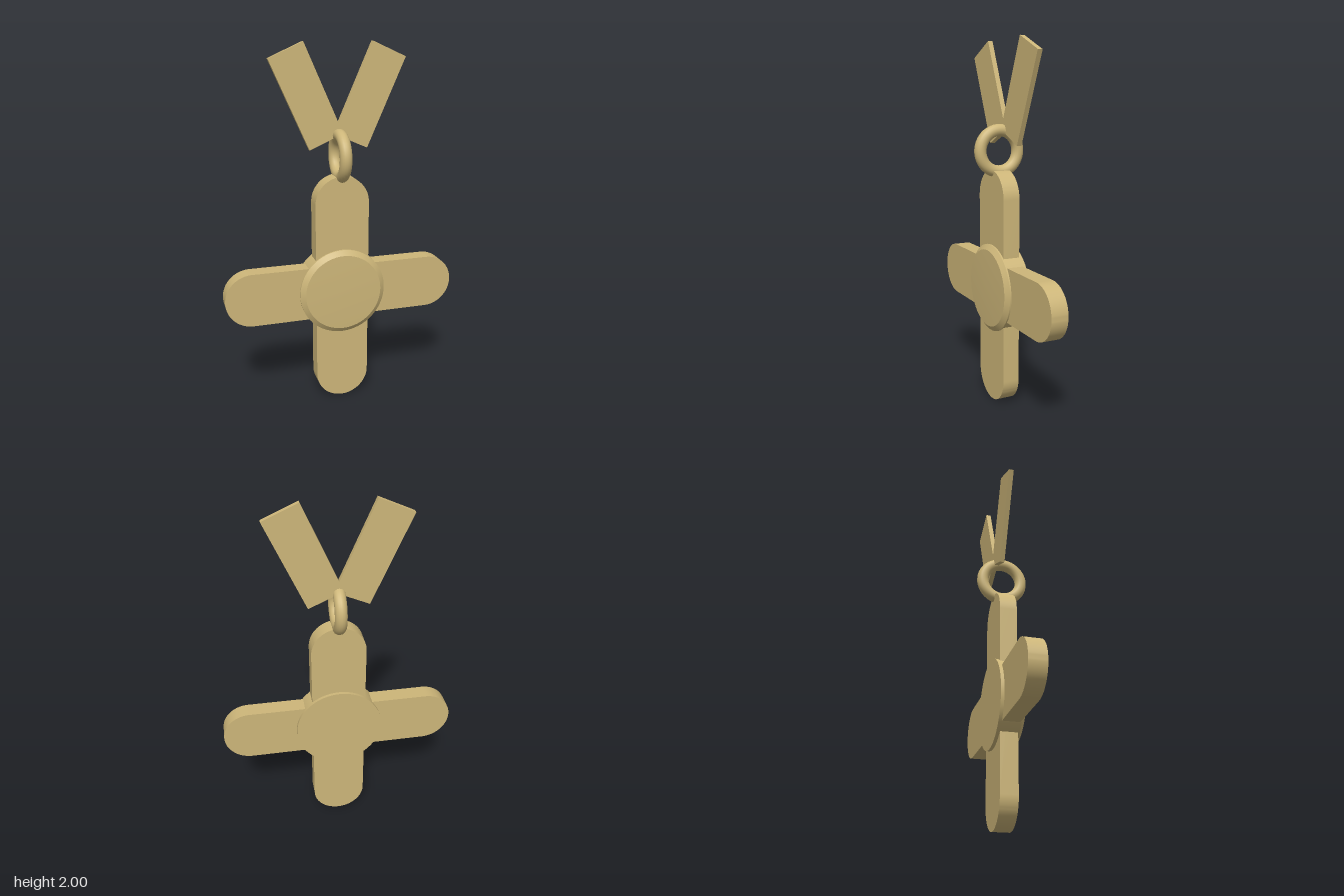
import * as THREE from 'three';
import { toCreasedNormals } from 'three/addons/utils/BufferGeometryUtils.js';

const gold = new THREE.MeshStandardMaterial({ color: 0xcdb679 });
gold.name = 'pale gold';

const HUB_Y = 0.655;

function part(name, geometry, x, y, z) {
  const mesh = new THREE.Mesh(geometry, gold);
  mesh.name = name;
  mesh.position.set(x, y, z);
  return mesh;
}

// Flat bar with fully rounded ends, standing upright and centred
function roundedBar(halfLength, radius, depth) {
  const straight = halfLength - radius;
  const shape = new THREE.Shape();
  shape.moveTo(radius, -straight);
  shape.lineTo(radius, straight);
  shape.absarc(0, straight, radius, 0, Math.PI, false);
  shape.lineTo(-radius, -straight);
  shape.absarc(0, -straight, radius, Math.PI, Math.PI * 2, false);
  const geometry = new THREE.ExtrudeGeometry(shape, { depth, bevelEnabled: false, curveSegments: 24 });
  geometry.translate(0, 0, -depth / 2);
  return toCreasedNormals(geometry, 0.5);
}

export function createModel() {
  const group = new THREE.Group();
  group.name = 'crossPendant';

  // Crossed arms
  const bar = roundedBar(0.653, 0.15, 0.094);
  group.add(part('verticalArms', bar, 0, HUB_Y, 0));
  const across = part('horizontalArms', bar, 0, HUB_Y, 0);
  across.rotation.z = Math.PI / 2;
  group.add(across);

  // Central disc with a chamfered rim and slightly domed face
  const profile = [
    [0, -0.065], [0.243, -0.065], [0.243, 0.055], [0.215, 0.075], [0, 0.082],
  ].map(([r, h]) => new THREE.Vector2(r, h));
  const disc = new THREE.LatheGeometry(profile, 64).rotateX(Math.PI / 2);
  group.add(part('centralDisc', toCreasedNormals(disc, 0.4), 0, HUB_Y, 0));

  // Hanging ring, edge-on to the front
  const ring = new THREE.TorusGeometry(0.111, 0.033, 16, 48).rotateY(Math.PI / 2);
  group.add(part('hangingRing', ring, 0, 1.41, 0));

  // Two ribbon straps forming a V
  const strap = new THREE.BoxGeometry(0.202, 0.52, 0.027);
  for (const [name, side] of [['leftStrap', 1], ['rightStrap', -1]]) {
    const mesh = part(name, strap, side * 0.1725, 1.7215, -0.038);
    mesh.rotation.z = -side * 0.417;
    group.add(mesh);
  }
  return group;
}
